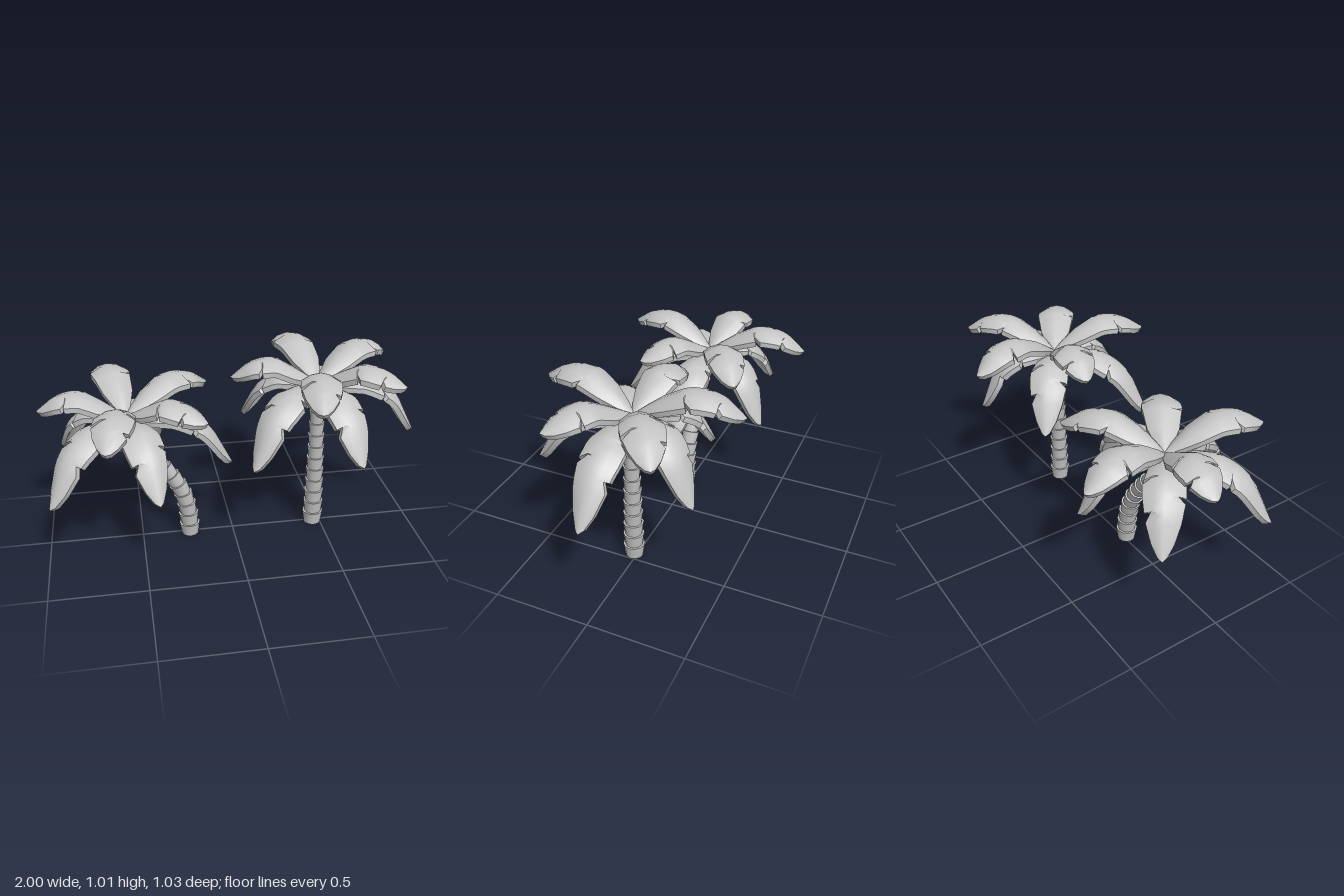
import * as THREE from 'three';
import { toCreasedNormals } from 'three/addons/utils/BufferGeometryUtils.js';

const grey = new THREE.MeshStandardMaterial({ color: 0xc4c4c4 });
grey.name = 'plain grey';

// Frond outline stations: spine, left edge, left half width, right edge, right half width
const OUTLINE = [
  [0, 0, 0.012, 0, 0.012],
  [0.12, 0.12, 0.045, 0.12, 0.045],
  [0.28, 0.28, 0.078, 0.28, 0.078],
  [0.44, 0.44, 0.094, 0.48, 0.095],
  [0.48, 0.48, 0.097, 0.465, 0.06],
  [0.52, 0.53, 0.1, 0.53, 0.1],
  [0.6, 0.65, 0.1, 0.6, 0.1],
  [0.64, 0.625, 0.055, 0.66, 0.098],
  [0.68, 0.69, 0.096, 0.7, 0.094],
  [0.74, 0.74, 0.09, 0.765, 0.088],
  [0.78, 0.78, 0.086, 0.755, 0.058],
  [0.82, 0.82, 0.08, 0.82, 0.08],
  [0.93, 0.92, 0.052, 0.92, 0.052],
  [1, 0.98, 0.022, 0.98, 0.022],
];

// Spine heights as [fraction of reach, height]
const raised = (peak, tip) => [[0, 0.85], [0.22, peak - 0.065], [0.5, peak], [0.77, peak - 0.02], [1, tip]];
const drooping = (tip) => [[0, 0.83], [0.22, 0.867], [0.48, 0.865], [0.76, 0.775], [1, tip]];

// Frond tips in plan, with the spine that leads there
const FRONDS = [
  [-0.11, -0.52, raised(1.005, 0.89)],
  [0.45, -0.3, raised(1.0, 0.895)],
  [0.39, 0.26, raised(0.98, 0.9)],
  [-0.11, 0.515, raised(1.005, 0.905)],
  [-0.45, -0.07, raised(0.98, 0.88)],
  [0.55, 0.01, drooping(0.54)],
  [0.13, 0.46, drooping(0.575)],
  [-0.4, 0.35, drooping(0.54)],
  [-0.36, -0.28, drooping(0.575)],
  [0.18, -0.38, drooping(0.53)],
];

// Thick arched leaf with notched edges, lofted along its spine
function frondGeometry(x, z, heights, flip) {
  const spine = new THREE.CatmullRomCurve3(
    heights.map(([f, y]) => new THREE.Vector3(x * f, y, z * f)));
  const side = new THREE.Vector3(x, 0, z).normalize().cross(new THREE.Vector3(0, 1, 0));
  const positions = [], index = [], U = [-1, -0.5, 0, 0.5, 1];
  const thickness = 0.028;

  for (const [mid, sL, wL, sR, wR] of OUTLINE) {
    const section = U.map((u) => {
      const left = (u < 0) !== flip;
      const s = THREE.MathUtils.lerp(mid, left ? sL : sR, Math.abs(u));
      const w = left ? wL : wR;
      const normal = side.clone().cross(spine.getTangent(s)).normalize();
      const p = spine.getPoint(s).addScaledVector(side, u * w)
        .addScaledVector(normal, -0.4 * w * u * u);
      return [p, p.clone().addScaledVector(normal, -thickness)];
    });
    section.forEach(([top]) => positions.push(...top.toArray()));
    section.reverse().forEach(([, under]) => positions.push(...under.toArray()));
  }

  const last = (OUTLINE.length - 1) * 10;
  for (let i = 0; i < last; i += 10) {
    for (let j = 0; j < 10; j++) {
      const a = i + j, b = i + (j + 1) % 10;
      index.push(a, b, b + 10, a, b + 10, a + 10);
    }
  }
  for (let k = 0; k < 4; k++) {
    const a = k, b = k + 1, c = 8 - k, d = 9 - k;
    index.push(a, c, b, a, d, c);
    index.push(last + a, last + b, last + c, last + a, last + c, last + d);
  }
  const geometry = new THREE.BufferGeometry();
  geometry.setAttribute('position', new THREE.Float32BufferAttribute(positions, 3));
  geometry.setIndex(index);
  return toCreasedNormals(geometry, 0.7);
}

function add(parent, geometry, name) {
  const mesh = new THREE.Mesh(geometry, grey);
  mesh.name = name;
  parent.add(mesh);
  return mesh;
}

// Stack of flared rings following a curve
function buildTrunk(points, count) {
  const trunk = new THREE.Group();
  trunk.name = 'trunk';
  const curve = new THREE.CatmullRomCurve3(
    points.map(([x, y]) => new THREE.Vector3(x, y, 0.015)));
  const up = new THREE.Vector3(0, 1, 0);
  for (let i = 0; i < count; i++) {
    const a = curve.getPointAt(i / count), b = curve.getPointAt((i + 1) / count);
    const axis = b.clone().sub(a);
    const r = THREE.MathUtils.lerp(0.057, 0.038, i / (count - 1));
    const ring = add(trunk, toCreasedNormals(
      new THREE.CylinderGeometry(r, r * 0.82, axis.length() + 0.004, 12), 0.7), 'trunkRing');
    ring.position.copy(a).add(b).multiplyScalar(0.5);
    ring.quaternion.setFromUnitVectors(up, axis.normalize());
  }
  return trunk;
}

// Fronds and coconuts, centred on the trunk top
function buildCrown(x, y) {
  const crown = new THREE.Group();
  crown.name = 'crown';
  FRONDS.forEach(([fx, fz, heights], i) =>
    add(crown, frondGeometry(fx, fz, heights, i % 2 === 1), 'frond'));
  for (let i = 0; i < 6; i++) {
    const angle = 2.4 + i * Math.PI / 3;
    add(crown, new THREE.SphereGeometry(0.032, 14, 10), 'coconut')
      .position.set(0.05 * Math.cos(angle), 0.76 + 0.02 * (i % 2), 0.012 + 0.05 * Math.sin(angle));
  }
  crown.position.set(x, y, 0);
  return crown;
}

export function createModel() {
  const model = new THREE.Group();
  model.name = 'palmTrees';

  const straight = new THREE.Group();
  straight.name = 'straightPalm';
  straight.add(buildTrunk([[0.457, 0], [0.457, 0.4], [0.45, 0.83]], 12), buildCrown(0.45, 0));

  const leaning = new THREE.Group();
  leaning.name = 'leaningPalm';
  leaning.add(buildTrunk([[-0.24, 0], [-0.247, 0.13], [-0.275, 0.26], [-0.33, 0.365],
    [-0.41, 0.475], [-0.49, 0.57], [-0.55, 0.69]], 12), buildCrown(-0.55, -0.12));

  model.add(straight, leaning);
  return model;
}
